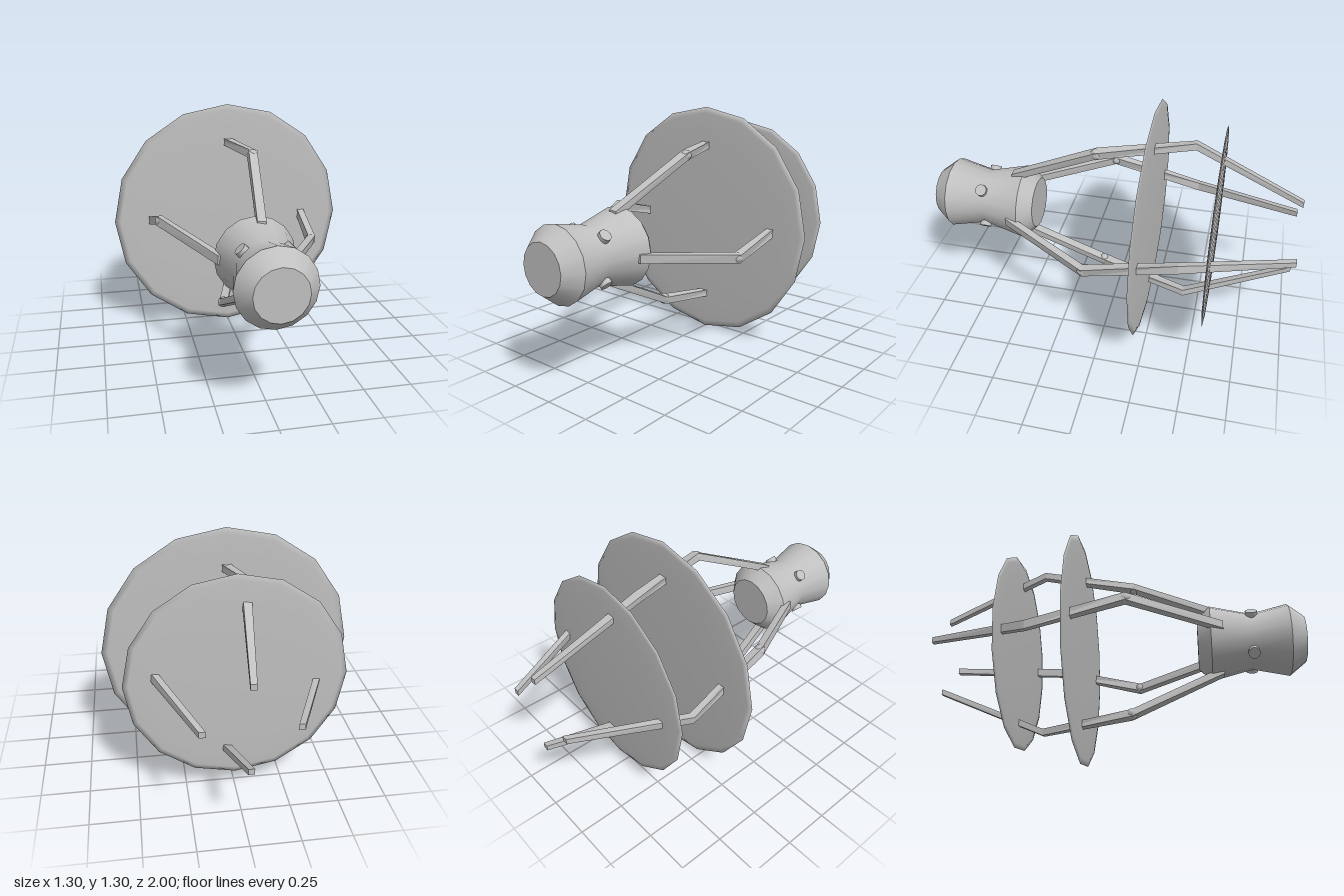
import * as THREE from 'three';

export function createModel() {
  const model = new THREE.Group();
  const grey = new THREE.MeshStandardMaterial({ color: 0xc0c0c0 });
  grey.name = 'light grey';
  const AXIS = 0.648; // height of the long axis
  const core = new THREE.Group();
  core.name = 'core';
  core.position.y = AXIS;
  model.add(core);

  const add = (name, geometry, parent = core) => {
    const mesh = new THREE.Mesh(geometry, grey);
    mesh.name = name;
    parent.add(mesh);
    return mesh;
  };

  // Turned body: each profile is a list of [radius, z], with a crease between profiles
  const turned = (name, profile) => add(name, new THREE.LatheGeometry(
    profile.map(([r, z]) => new THREE.Vector2(r, z)), 16).rotateX(Math.PI / 2));
  turned('rearCap', [[0, 0.43], [0.14, 0.43]]);
  turned('rearCone', [[0.14, 0.43], [0.205, 0.5]]);
  turned('waistedBody', [[0.205, 0.5], [0.152, 0.72], [0.195, 0.915]]);
  turned('frontCone', [[0.195, 0.915], [0.128, 1]]);
  turned('frontCap', [[0.128, 1], [0, 1]]);

  // Four round studs at the waist
  for (let i = 0; i < 4; i++) {
    const stud = add('stud', new THREE.CylinderGeometry(0.032, 0.032, 0.06, 10));
    const a = Math.PI / 4 + i * Math.PI / 2;
    stud.position.set(Math.cos(a) * 0.145, Math.sin(a) * 0.145, 0.72);
    stud.rotation.z = a - Math.PI / 2;
  }

  // Lens-shaped discs, sharp at the rim
  for (const [name, radius, z] of [['largeDisc', 0.648, -0.208], ['smallDisc', 0.548, -0.565]]) {
    const disc = add(name, new THREE.SphereGeometry(radius, 16, 10)
      .scale(1, 0.013 / radius, 1).rotateX(Math.PI / 2));
    disc.position.z = z;
  }

  // Bent square bar through a few stations: [sideways, outward, z, width, depth]
  const barGeometry = (stations) => {
    const rings = stations.map(([t, r, z, w, d]) => {
      const out = new THREE.Vector3(t, r, 0).normalize();
      const side = new THREE.Vector3(out.y, -out.x, 0);
      return [[-1, -1], [1, -1], [1, 1], [-1, 1]].map(([s, o]) =>
        new THREE.Vector3(t, r, z).addScaledVector(side, s * w / 2).addScaledVector(out, o * d / 2));
    });
    const pos = [];
    const quad = (a, b, c, d) => [a, b, c, a, c, d].forEach((p) => pos.push(p.x, p.y, p.z));
    for (let i = 0; i < rings.length - 1; i++) {
      const p = rings[i], q = rings[i + 1]; // q lies further back (-z)
      for (let j = 0; j < 4; j++) {
        const k = (j + 1) % 4;
        quad(p[j], q[j], q[k], p[k]);
      }
    }
    quad(...rings[0]);
    quad(...rings[rings.length - 1].slice().reverse());
    const g = new THREE.BufferGeometry();
    g.setAttribute('position', new THREE.Float32BufferAttribute(pos, 3));
    g.computeVertexNormals();
    return g;
  };
  const bar = barGeometry([
    [0.015, 0.175, 0.565, 0.045, 0.042],
    [0.08, 0.42, 0.075, 0.048, 0.042],
    [-0.06, 0.453, -0.425, 0.046, 0.036],
    [0, 0.217, -0.995, 0.03, 0.03],
  ]);

  // Four arms around the axis, each with a small elbow joint
  for (let i = 0; i < 4; i++) {
    const arm = new THREE.Group();
    arm.name = 'arm';
    arm.rotation.z = i * Math.PI / 2;
    core.add(arm);
    add('armBar', bar, arm);
    add('elbowJoint', new THREE.SphereGeometry(0.03, 8, 6), arm).position.set(0.08, 0.416, 0.075);
  }
  return model;
}
